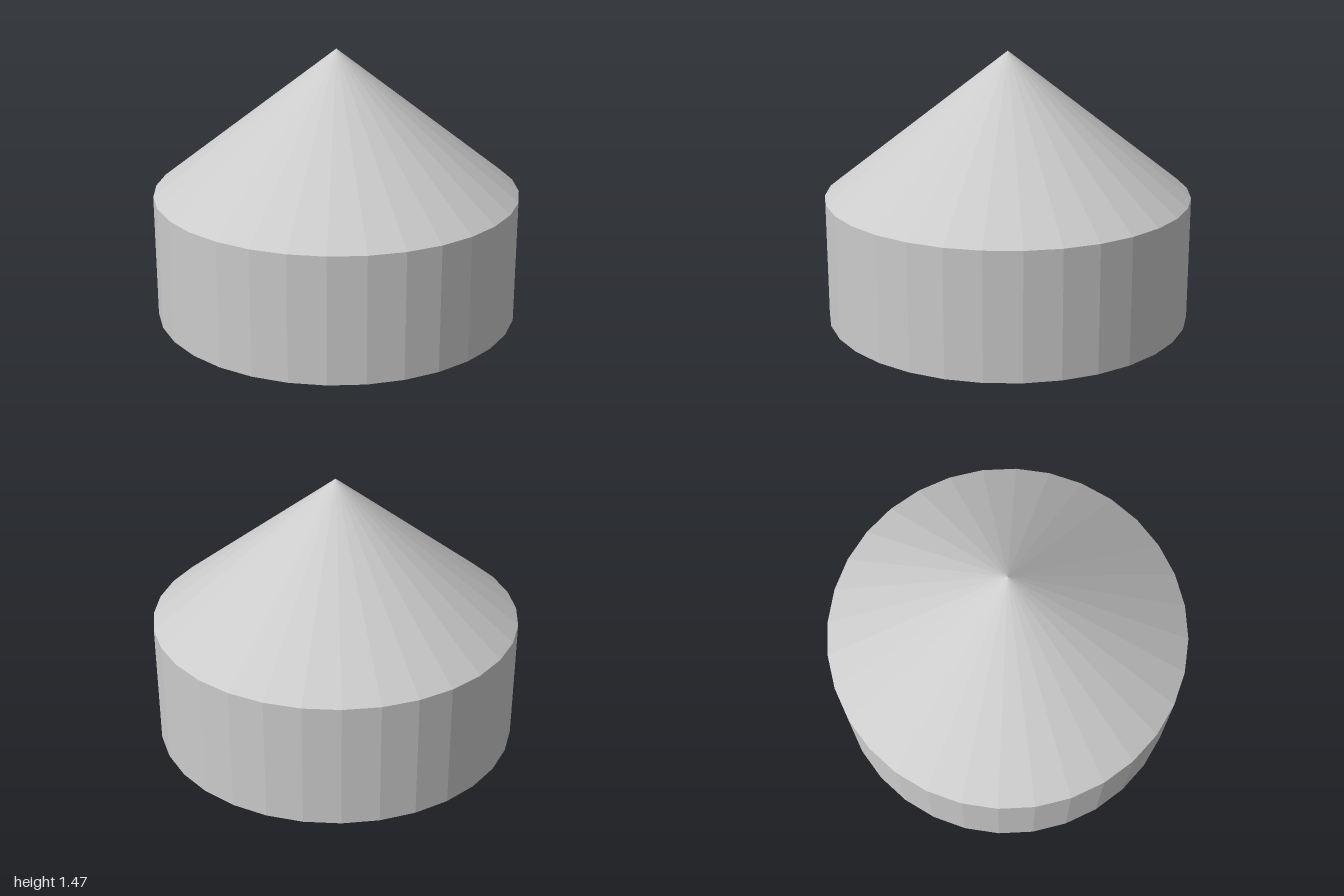
import * as THREE from 'three';

const SIDES = 32;
const RADIUS = 1, INNER = 0.92;
const EAVES = 0.685, CEILING = 0.64, APEX = 1.47;

export function createModel() {
  const model = new THREE.Group();
  model.name = 'hollowConeCap';
  const material = new THREE.MeshStandardMaterial({ color: 0xcccccc, flatShading: true });

  // Turns an [r, y] profile around the y axis
  const turned = (name, profile) => {
    const points = profile.map(([r, y]) => new THREE.Vector2(r, y));
    const mesh = new THREE.Mesh(new THREE.LatheGeometry(points, SIDES), material);
    mesh.name = name;
    model.add(mesh);
  };

  // Flat ceiling, inner wall, bottom rim and outer wall
  turned('hollowBody', [[0, CEILING], [INNER, CEILING], [INNER, 0], [RADIUS, 0], [RADIUS, EAVES]]);

  // Cone closing the body from above
  turned('coneRoof', [[RADIUS, EAVES], [0, APEX]]);

  return model;
}
